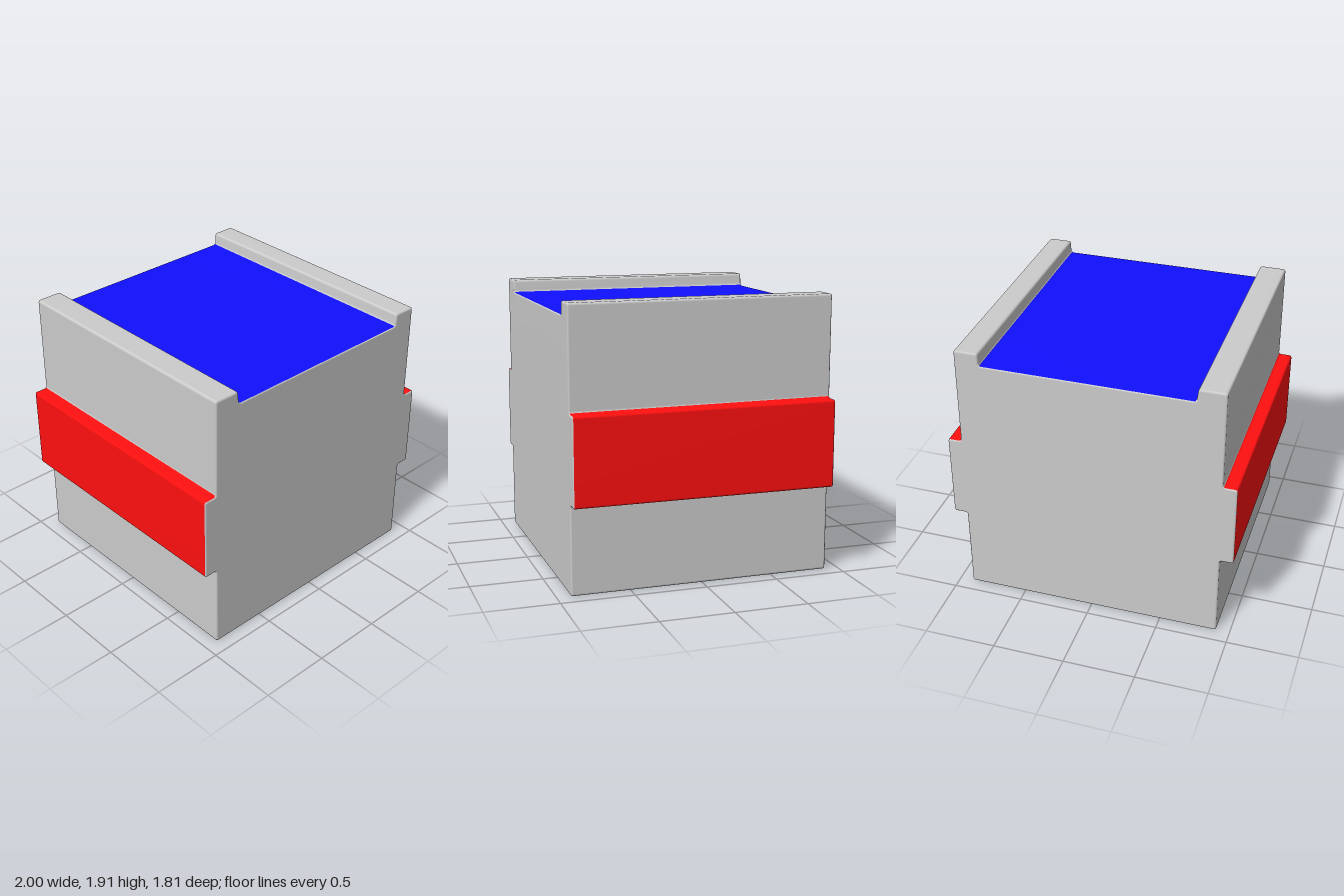
import * as THREE from 'three';
import { mergeVertices } from 'three/addons/utils/BufferGeometryUtils.js';

const DEPTH = 1.81, BEVEL = 0.012, ROUND = 0.018;

// Closed outline with every corner softened by a small curve
function roundedOutline(points, r) {
  const shape = new THREE.Shape();
  const corners = points.map(([x, y]) => new THREE.Vector2(x, y));
  const n = corners.length;
  corners.forEach((c, i) => {
    const toward = (p) => p.clone().sub(c).setLength(r).add(c);
    const a = toward(corners[(i + n - 1) % n]);
    const b = toward(corners[(i + 1) % n]);
    if (i === 0) shape.moveTo(a.x, a.y);
    else shape.lineTo(a.x, a.y);
    shape.quadraticCurveTo(c.x, c.y, b.x, b.y);
  });
  shape.closePath();
  return shape;
}

// Which painted part a triangle belongs to, from its centre and normal
function partOf(centre, normal) {
  if (Math.abs(centre.x) > 0.908 && Math.abs(normal.z) < 0.5) return 'sideBands';
  if (centre.y > 1.8 && centre.y < 1.84 && Math.abs(centre.x) < 0.74 && normal.y > 0.75) return 'topPanel';
  return 'body';
}

export function createModel() {
  const group = new THREE.Group();

  // Front profile: block with a band on each side and a shallow channel on top
  const profile = roundedOutline([
    [-0.905, 0], [0.905, 0], [0.905, 0.61], [1, 0.61], [1, 1.21], [0.905, 1.21],
    [0.905, 1.91], [0.74, 1.91], [0.735, 1.82], [-0.71, 1.82], [-0.72, 1.91],
    [-0.905, 1.91], [-0.905, 1.21], [-1, 1.21], [-1, 0.61], [-0.905, 0.61],
  ], ROUND);

  const length = DEPTH - 2 * BEVEL;
  let geometry = new THREE.ExtrudeGeometry(profile, {
    depth: length, curveSegments: 4, bevelEnabled: true, bevelSegments: 3,
    bevelSize: BEVEL, bevelThickness: BEVEL, bevelOffset: -BEVEL,
  });
  geometry.translate(0, 0, -length / 2);

  // Area-weighted smooth normals keep the big faces flat and the edges soft
  geometry.deleteAttribute('uv');
  geometry.deleteAttribute('normal');
  geometry.clearGroups();
  geometry = mergeVertices(geometry);
  geometry.computeVertexNormals();

  // Sort the triangles into the grey body, red bands and blue panel
  const faces = { body: [], sideBands: [], topPanel: [] };
  const pos = geometry.attributes.position;
  const tri = new THREE.Triangle();
  const centre = new THREE.Vector3(), normal = new THREE.Vector3();
  const index = geometry.index.array;
  for (let i = 0; i < index.length; i += 3) {
    const ids = [index[i], index[i + 1], index[i + 2]];
    tri.setFromAttributeAndIndices(pos, ...ids);
    tri.getMidpoint(centre);
    tri.getNormal(normal);
    faces[partOf(centre, normal)].push(...ids);
  }

  const colors = { body: 0xcccccc, sideBands: 0xff1010, topPanel: 0x1010ff };
  for (const name of Object.keys(faces)) {
    const part = geometry.clone();
    part.setIndex(faces[name]);
    const mesh = new THREE.Mesh(part, new THREE.MeshStandardMaterial({ color: colors[name] }));
    mesh.name = name;
    group.add(mesh);
  }
  return group;
}
